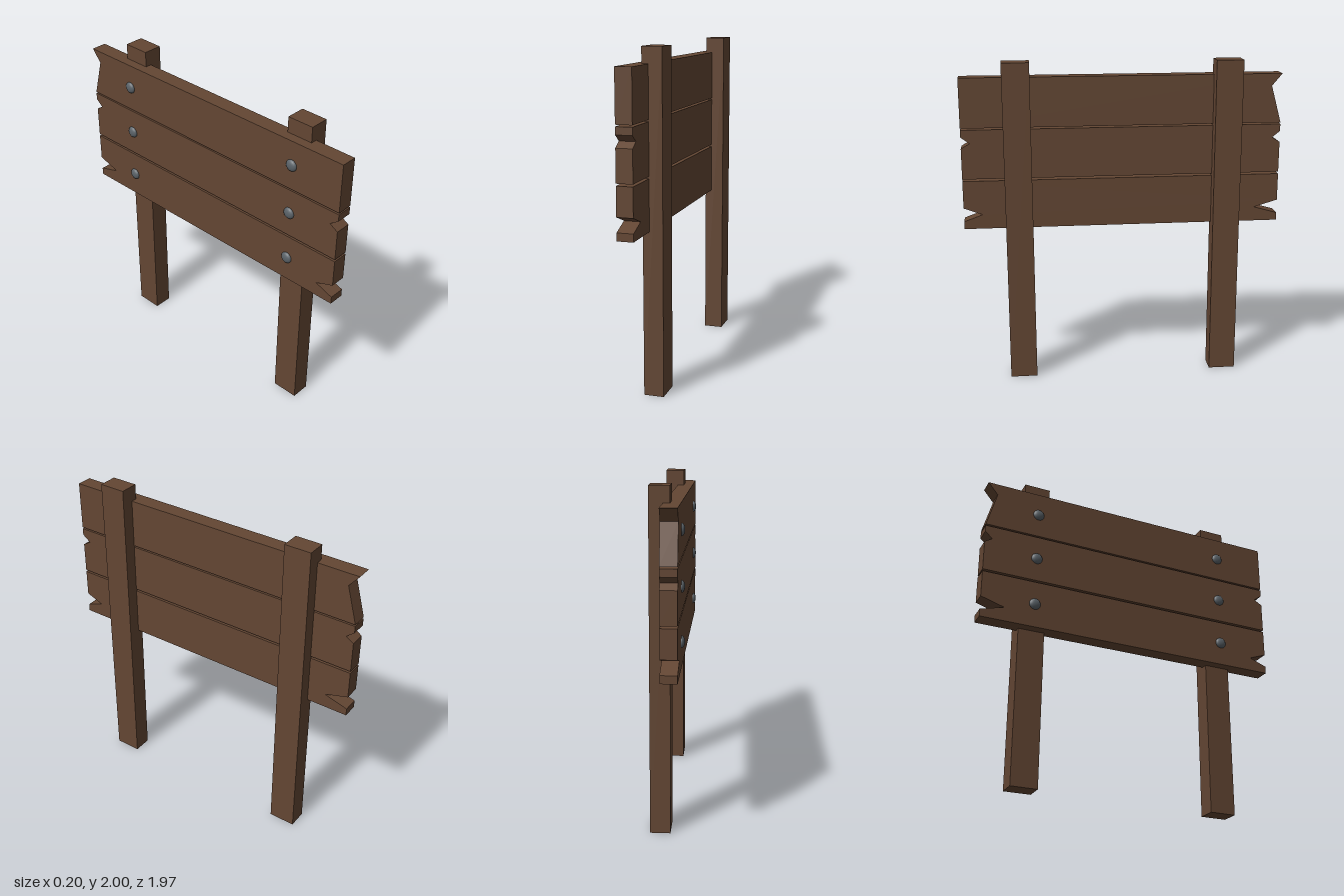
import * as THREE from 'three';

export function createModel() {
  const sign = new THREE.Group();
  sign.name = 'woodenSign';
  const wood = new THREE.MeshStandardMaterial({ color: 0x634633, flatShading: true });
  const metal = new THREE.MeshStandardMaterial({ color: 0x5a6268 });

  const add = (name, geometry, material, x = 0, y = 0, z = 0) => {
    const mesh = new THREE.Mesh(geometry, material);
    mesh.name = name;
    mesh.position.set(x, y, z);
    sign.add(mesh);
    return mesh;
  };

  // Two square posts
  const post = new THREE.BoxGeometry(0.118, 2, 0.166);
  add('frontPost', post, wood, 0.037, 1, 0.643);
  add('backPost', post, wood, 0.037, 1, -0.641);

  // Planks: outline in (z, y), with broken ends listed from the top down
  const end = 0.983;
  const planks = [
    { name: 'topPlank', bottom: 1.602, top: 1.905, front: [], back: [[-0.92, 1.83]] },
    {
      name: 'middlePlank', bottom: 1.288, top: 1.592,
      front: [[end, 1.548], [0.93, 1.509], [end, 1.478]],
      back: [[-end, 1.548], [-0.935, 1.509], [-end, 1.478]],
    },
    {
      name: 'bottomPlank', bottom: 0.973, top: 1.275,
      front: [[end, 1.105], [0.868, 1.062], [end, 1.02]],
      back: [[-end, 1.105], [-0.835, 1.062], [-end, 1.02]],
    },
  ];
  for (const { name, bottom, top, front, back } of planks) {
    const outline = [
      [-end, bottom], [end, bottom], ...[...front].reverse(),
      [end, top], [-end, top], ...back,
    ];
    const shape = new THREE.Shape(outline.map(([z, y]) => new THREE.Vector2(z, y)));
    const plank = new THREE.ExtrudeGeometry(shape, { depth: 0.097, bevelEnabled: false });
    plank.rotateY(-Math.PI / 2);
    add(name, plank, wood, 0.017);
  }

  // Domed bolt heads where each plank crosses a post
  const bolt = new THREE.SphereGeometry(0.036, 16, 6, 0, Math.PI * 2, 0, Math.PI / 2);
  bolt.scale(1, 0.53, 1);
  bolt.rotateZ(Math.PI / 2);
  for (const y of [1.755, 1.44, 1.125]) {
    for (const z of [0.645, -0.645]) add('bolt', bolt, metal, -0.08, y, z);
  }

  return sign;
}
